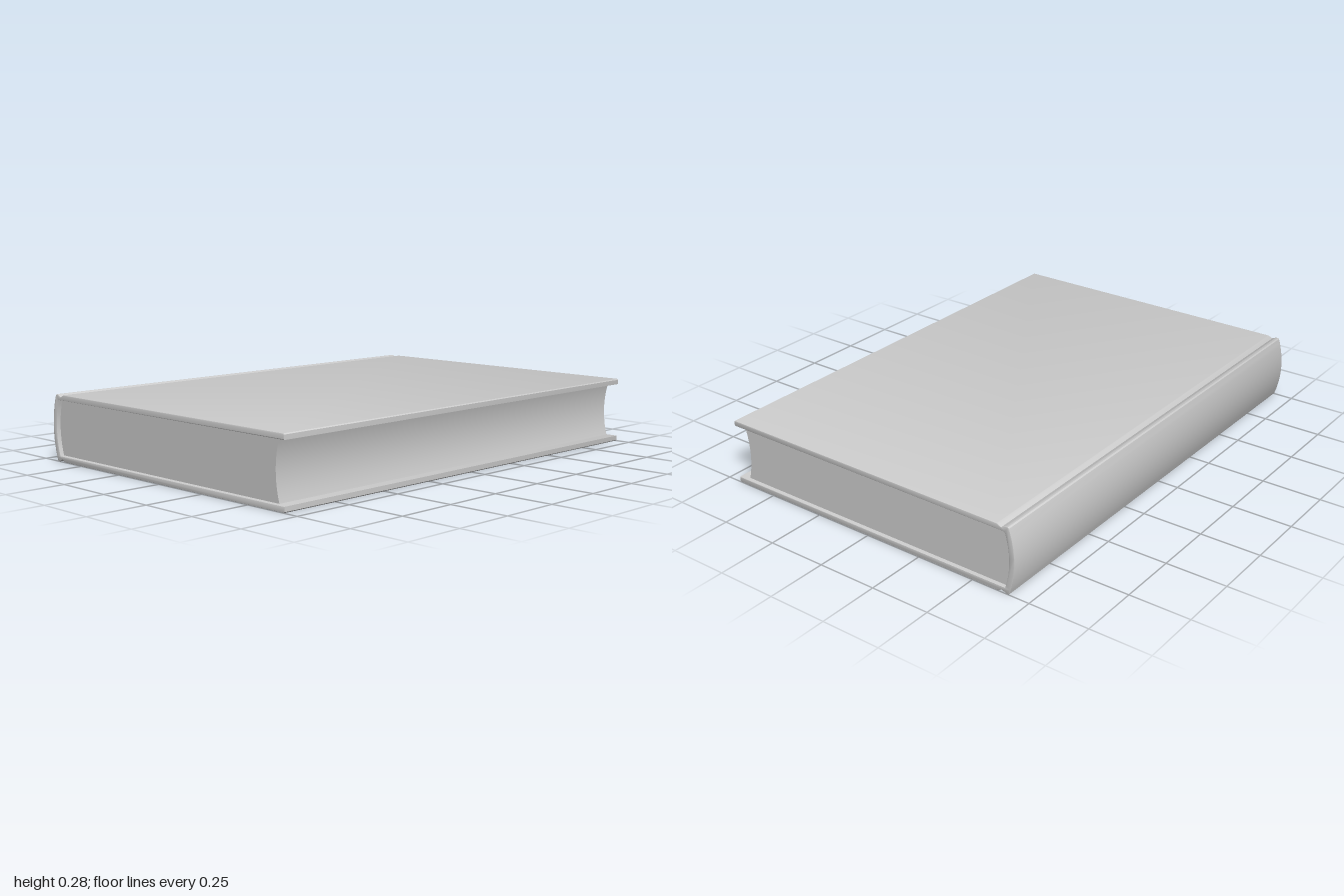
import * as THREE from 'three';
import { toCreasedNormals } from 'three/addons/utils/BufferGeometryUtils.js';

const H = 0.275; // total height
const MID = H / 2;

// Extrude an x/y outline along z, centred, with a small edge bevel
function extrudeCentred(shape, length, bevel) {
  const geo = new THREE.ExtrudeGeometry(shape, {
    depth: length - 2 * bevel,
    bevelEnabled: bevel > 0,
    bevelSize: bevel,
    bevelThickness: bevel,
    bevelOffset: -bevel,
    bevelSegments: 2,
    curveSegments: 16,
  });
  geo.translate(0, 0, -length / 2 + bevel);
  return toCreasedNormals(geo, Math.PI / 6);
}

function part(name, geometry) {
  const mesh = new THREE.Mesh(geometry, new THREE.MeshStandardMaterial({ color: 0xcccccc }));
  mesh.name = name;
  return mesh;
}

// Case: two boards joined by a rounded spine, with a hinge groove on each face
function coverShape() {
  const outer = [
    [0.684, H], [-0.612, H], [-0.622, 0.271], [-0.632, 0.266],
    [-0.642, 0.271], [-0.65, H], [-0.66, H], [-0.665, 0.271],
  ];
  const s = new THREE.Shape();
  s.moveTo(0.688, H - 0.004);
  outer.forEach(([x, y]) => s.lineTo(x, y));
  s.quadraticCurveTo(-0.711, MID, -0.665, H - 0.271);
  outer.slice(0, -1).reverse().forEach(([x, y]) => s.lineTo(x, H - y));
  s.lineTo(0.688, 0.004);
  s.lineTo(0.688, 0.023);
  s.lineTo(-0.645, 0.023);
  s.quadraticCurveTo(-0.683, MID, -0.645, H - 0.023);
  s.lineTo(0.688, H - 0.023);
  s.closePath();
  return s;
}

// Page block: rounded back and hollow fore edge
function pageShape() {
  const low = 0.024, high = H - 0.024;
  const s = new THREE.Shape();
  s.moveTo(-0.643, low);
  s.lineTo(0.645, low);
  s.quadraticCurveTo(0.611, MID, 0.645, high);
  s.lineTo(-0.643, high);
  s.quadraticCurveTo(-0.679, MID, -0.643, low);
  return s;
}

export function createModel() {
  const book = new THREE.Group();
  book.name = 'book';
  book.add(part('cover', extrudeCentred(coverShape(), 2, 0.003)));
  book.add(part('pages', extrudeCentred(pageShape(), 1.968, 0)));
  return book;
}
